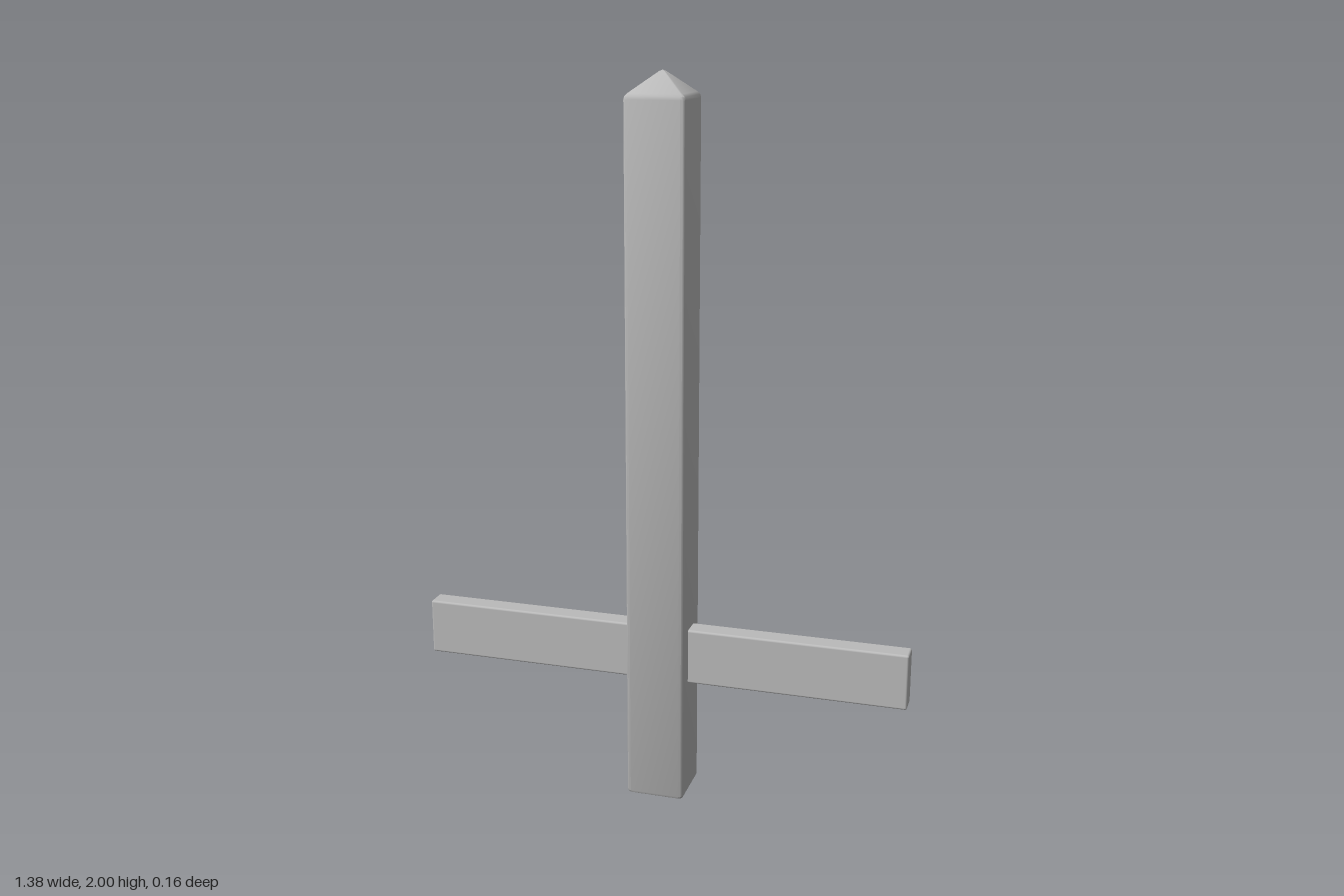
import * as THREE from 'three';
import { toCreasedNormals } from 'three/addons/utils/BufferGeometryUtils.js';
import { RoundedBoxGeometry } from 'three/addons/geometries/RoundedBoxGeometry.js';

// Outline of a square with rounded corners, counter-clockwise seen from above
function roundedSquare(half, radius, steps = 3) {
  const points = [];
  for (let corner = 0; corner < 4; corner++) {
    const middle = Math.PI / 4 + corner * Math.PI / 2;
    const cx = Math.sign(Math.cos(middle)) * (half - radius);
    const cz = Math.sign(Math.sin(middle)) * (half - radius);
    for (let i = 0; i <= steps; i++) {
      const a = corner * Math.PI / 2 + (i / steps) * Math.PI / 2;
      points.push([cx + radius * Math.cos(a), cz + radius * Math.sin(a)]);
    }
  }
  return points;
}

// Joins a stack of scaled outlines [half width, height] into a closed solid
function stackOutline(outline, half, levels) {
  const n = outline.length;
  const positions = [];
  const indices = [];
  for (const [size, y] of levels) {
    for (const [x, z] of outline) positions.push(x * size / half, y, z * size / half);
  }
  for (let r = 0; r < levels.length - 1; r++) {
    for (let i = 0; i < n; i++) {
      const a = r * n + i;
      const b = r * n + (i + 1) % n;
      if (levels[r + 1][0] > 0) indices.push(a, a + n, b + n);
      if (levels[r][0] > 0) indices.push(a, b + n, b);
    }
  }
  const geometry = new THREE.BufferGeometry();
  geometry.setAttribute('position', new THREE.Float32BufferAttribute(positions, 3));
  geometry.setIndex(indices);
  return toCreasedNormals(geometry, 0.6);
}

export function createModel() {
  const group = new THREE.Group();
  group.name = 'postWithCrossbar';
  const gray = new THREE.MeshStandardMaterial({ color: 0xbababa });
  gray.name = 'plain gray';

  // Square post with softened edges and a pyramid tip
  const half = 0.082;
  const post = new THREE.Mesh(stackOutline(roundedSquare(half, 0.012), half, [
    [0, 0], [0.074, 0], [0.079, 0.003], [half, 0.01],
    [half, 1.929], [0.08, 1.937], [0.074, 1.944],
    [0.008, 1.996], [0, 2],
  ]), gray);
  post.name = 'post';
  group.add(post);

  // Flat crossbar passing through the lower part of the post
  const crossbar = new THREE.Mesh(new RoundedBoxGeometry(1.384, 0.158, 0.06, 3, 0.006), gray);
  crossbar.name = 'crossbar';
  crossbar.position.y = 0.417;
  group.add(crossbar);

  return group;
}
